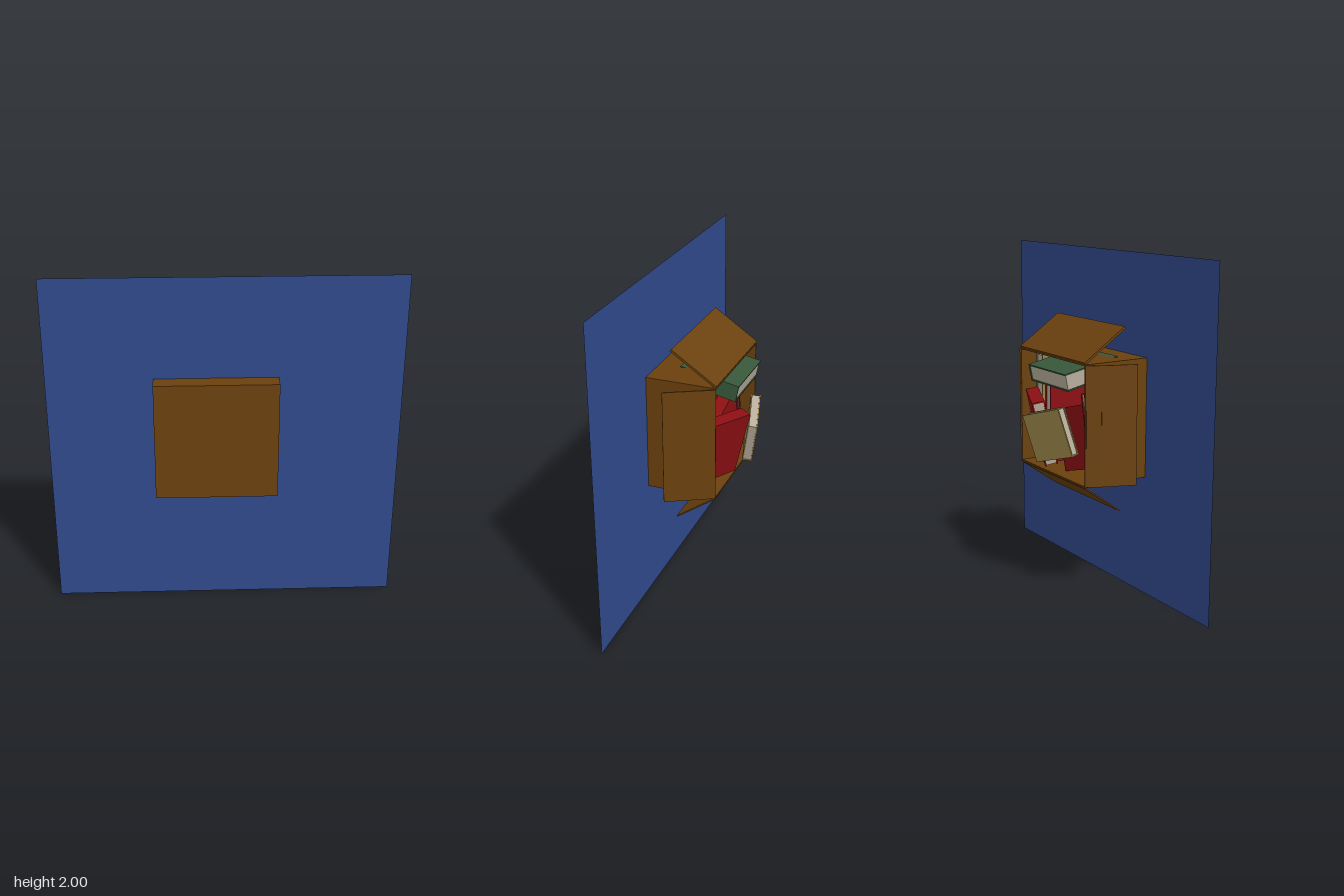
import * as THREE from 'three';

const V = (a) => new THREE.Vector3(...a);
const mat = (name, color, side = THREE.FrontSide) => {
  const m = new THREE.MeshStandardMaterial({ color, side });
  m.name = name;
  return m;
};

export function createModel() {
  const root = new THREE.Group();
  root.name = 'boxOfBooks';
  const cardboard = mat('cardboard brown', 0x6b410e);
  const blue = mat('panel blue', 0x304a8c, THREE.DoubleSide);
  const red = mat('book red', 0x8c0f13);
  const green = mat('book green', 0x36573a);
  const tan = mat('book tan', 0x978246);
  const paper = mat('paper', 0xb9ad9c);

  // Box between two corners
  function slab(parent, name, material, lo, hi) {
    const a = V(lo), b = V(hi), s = b.clone().sub(a);
    const mesh = new THREE.Mesh(new THREE.BoxGeometry(s.x, s.y, s.z), material);
    mesh.position.copy(a.add(b).multiplyScalar(0.5));
    mesh.name = name;
    parent.add(mesh);
    return mesh;
  }

  // Flat backing panel
  const panel = new THREE.Mesh(new THREE.PlaneGeometry(2, 2), blue);
  panel.position.set(0, 1, 0.237);
  panel.name = 'backingPanel';
  root.add(panel);

  // Carton on its side, opening towards -z
  const carton = new THREE.Group();
  carton.name = 'carton';
  root.add(carton);
  const x0 = -0.4, x1 = 0.3, y0 = 0.715, y1 = 1.415, z0 = -0.18, z1 = 0.34, w = 0.008;
  slab(carton, 'cartonBase', cardboard, [x0, y0, z1 - w], [x1, y1, z1]);
  slab(carton, 'rightWall', cardboard, [x0, y0, z0], [x0 + w, y1, z1 - w]);
  slab(carton, 'leftWall', cardboard, [x1 - w, y0, z0], [x1, y1, z1 - w]);
  slab(carton, 'lowerWall', cardboard, [x0 + w, y0, z0], [x1 - w, y0 + w, z1 - w]);
  slab(carton, 'upperWall', cardboard, [x0 + w, y1 - w, z0], [x1 - w, y1, z1 - w]);

  // Flap from hinge point a to free edge b, stretched along the given axis
  function flap(name, a, b, axis, length, thick) {
    const p = V(a), q = V(b), d = q.clone().sub(p), span = d.length();
    const u = d.normalize(), v = V(axis), n = u.clone().cross(v);
    const mesh = new THREE.Mesh(new THREE.BoxGeometry(span, length, thick), cardboard);
    mesh.quaternion.setFromRotationMatrix(new THREE.Matrix4().makeBasis(u, v, n));
    mesh.position.copy(p.add(q).multiplyScalar(0.5));
    mesh.name = name;
    carton.add(mesh);
  }
  flap('upperFlap', [-0.05, 1.42, -0.18], [-0.05, 1.6, 0.086], [1, 0, 0], 0.695, 0.014);
  flap('lowerFlap', [-0.05, 0.712, -0.176], [-0.05, 0.542, 0.06], [1, 0, 0], 0.695, w);
  flap('leftFlap', [0.302, 1.065, -0.182], [0.442, 1.065, 0.08], [0, 1, 0], 0.69, w);
  flap('rightFlapCrease', [-0.402, 1.065, -0.175], [-0.442, 1.065, -0.1], [0, 1, 0], 0.69, w);
  flap('rightFlap', [-0.442, 1.065, -0.1], [-0.515, 1.065, 0.088], [0, 1, 0], 0.69, w);

  // Book: origin is a spine corner of the front cover, u leads away from the spine, v along it
  function book(name, cover, origin, uDir, vDir, width, height, thick) {
    const g = new THREE.Group(), c = 0.008, inset = 0.006;
    const u = V(uDir).normalize();
    const n = u.clone().cross(V(vDir)).normalize();
    const v = n.clone().cross(u);
    g.quaternion.setFromRotationMatrix(new THREE.Matrix4().makeBasis(u, v, n));
    g.position.copy(V(origin));
    g.name = name;
    slab(g, 'frontCover', cover, [0, 0, -c], [width, height, 0]);
    slab(g, 'backCover', cover, [0, 0, -thick], [width, height, c - thick]);
    slab(g, 'spine', cover, [0, 0, c - thick], [c, height, -c]);
    slab(g, 'pages', paper, [c, inset, c - thick], [width - inset, height - inset, -c]);
    root.add(g);
  }
  book('greenBook', green, [0.1, 1.35, -0.245], [-1, 0, 0], [0, 0.2, 0.98], 0.395, 0.36, 0.1);
  book('tanBook', tan, [-0.315, 0.88, -0.21], [0.065, 0.27, -0.055], [0.265, -0.09, -0.07], 0.283, 0.288, 0.058);
  book('frontRedBook', red, [0.27, 1.165, -0.165], [0, -0.39, 0.09], [-0.22, -0.03, -0.095], 0.4, 0.297, 0.075);
  book('rearRedBook', red, [0.03, 1.08, -0.1], [-0.27, -0.96, 0], [-0.96, 0.27, 0], 0.37, 0.3, 0.08);
  book('leaningBook', red, [-0.345, 0.74, 0.25], [0, 0, -1], [0.2, 0.98, 0], 0.36, 0.49, 0.04);
  book('outerUprightBook', tan, [0.285, 0.724, 0.28], [0, 0, -1], [0, 1, 0], 0.36, 0.65, 0.07);
  book('innerUprightBook', red, [0.2, 0.724, 0.28], [0, 0, -1], [0, 1, 0], 0.35, 0.6, 0.06);

  return root;
}
